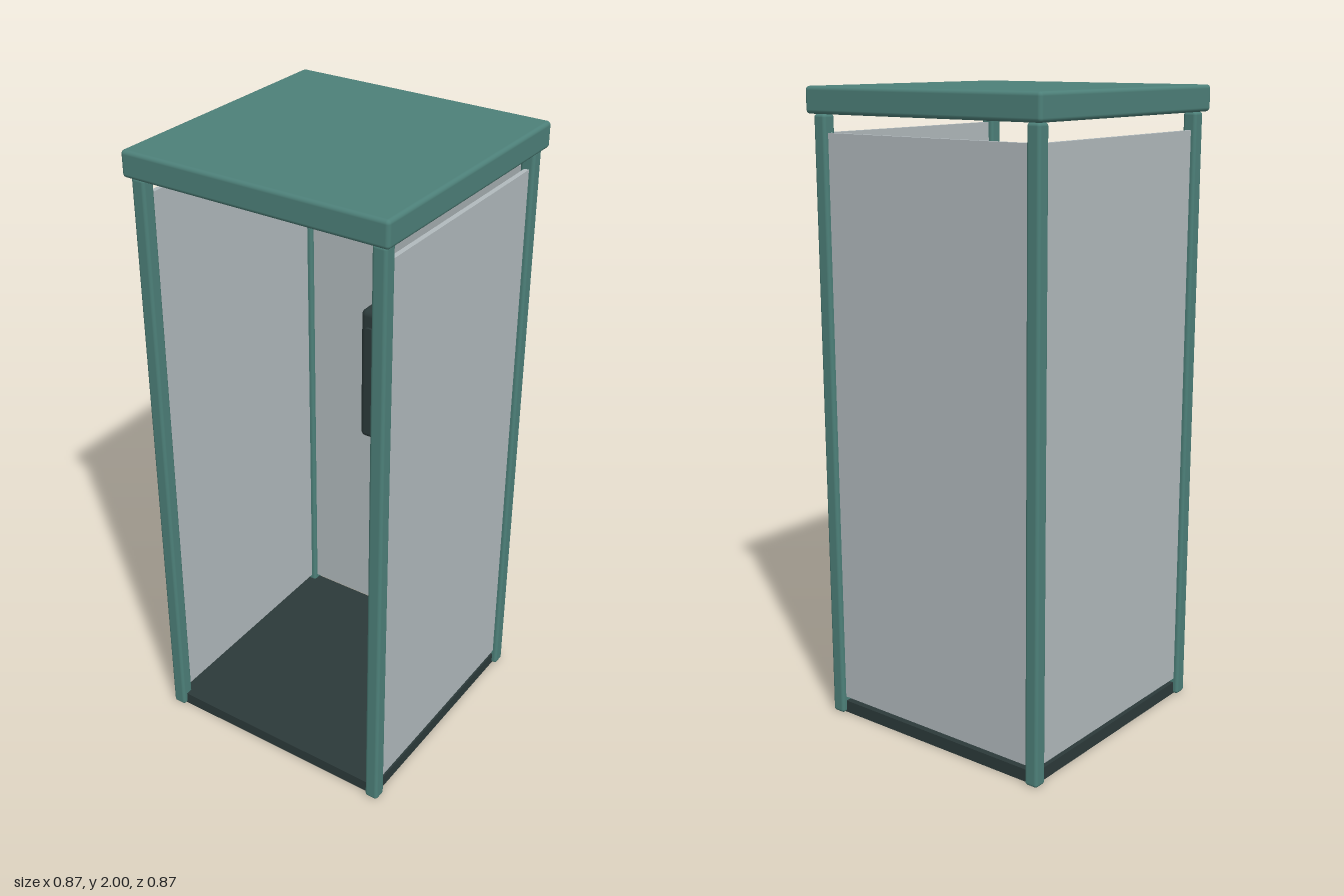
import * as THREE from 'three';
import { RoundedBoxGeometry } from 'three/addons/geometries/RoundedBoxGeometry.js';

const material = (name, color) => {
  const m = new THREE.MeshStandardMaterial({ color });
  m.name = name;
  return m;
};

export function createModel() {
  const group = new THREE.Group();
  const teal = material('teal paint', 0x4d8079);
  const dark = material('dark metal', 0x2c3a3a);
  const glass = material('pale glass', 0xb1babd);
  const label = material('label grey', 0xb4c3c7);

  // Box by size and centre; a radius rounds its edges
  const box = (name, mat, [w, h, d], [x, y, z], radius = 0) => {
    const geometry = radius
      ? new RoundedBoxGeometry(w, h, d, 3, radius)
      : new THREE.BoxGeometry(w, h, d);
    const mesh = new THREE.Mesh(geometry, mat);
    mesh.name = name;
    mesh.position.set(x, y, z);
    group.add(mesh);
    return mesh;
  };

  // Floor and roof
  box('floor', dark, [0.8, 0.04, 0.8], [0, 0.02, 0]);
  box('roof', teal, [0.866, 0.08, 0.866], [0, 1.96, 0], 0.012);

  // Corner posts
  const p = 0.394;
  for (const x of [-p, p]) {
    for (const z of [-p, p]) {
      box('cornerPost', teal, [0.045, 1.92, 0.045], [x, 0.96, z], 0.01);
    }
  }

  // Side and back panels, front left open
  box('leftPanel', glass, [0.015, 1.81, 0.76], [p, 0.96, 0]);
  box('rightPanel', glass, [0.015, 1.81, 0.76], [-p, 0.96, 0]);
  box('backPanel', glass, [0.76, 1.81, 0.015], [0, 0.96, -p]);

  // Wall unit with raised plate
  box('wallUnit', dark, [0.236, 0.48, 0.105], [0, 1.066, -0.335], 0.02);
  box('unitPlate', dark, [0.18, 0.164, 0.012], [0, 1.167, -0.28]);

  // Label stripes, narrowing downwards
  [[0.09, 1.206], [0.072, 1.174], [0.058, 1.138]].forEach(([w, y]) => {
    box('labelStripe', label, [w, 0.021, 0.004], [-0.017, y, -0.273]);
  });

  return group;
}
